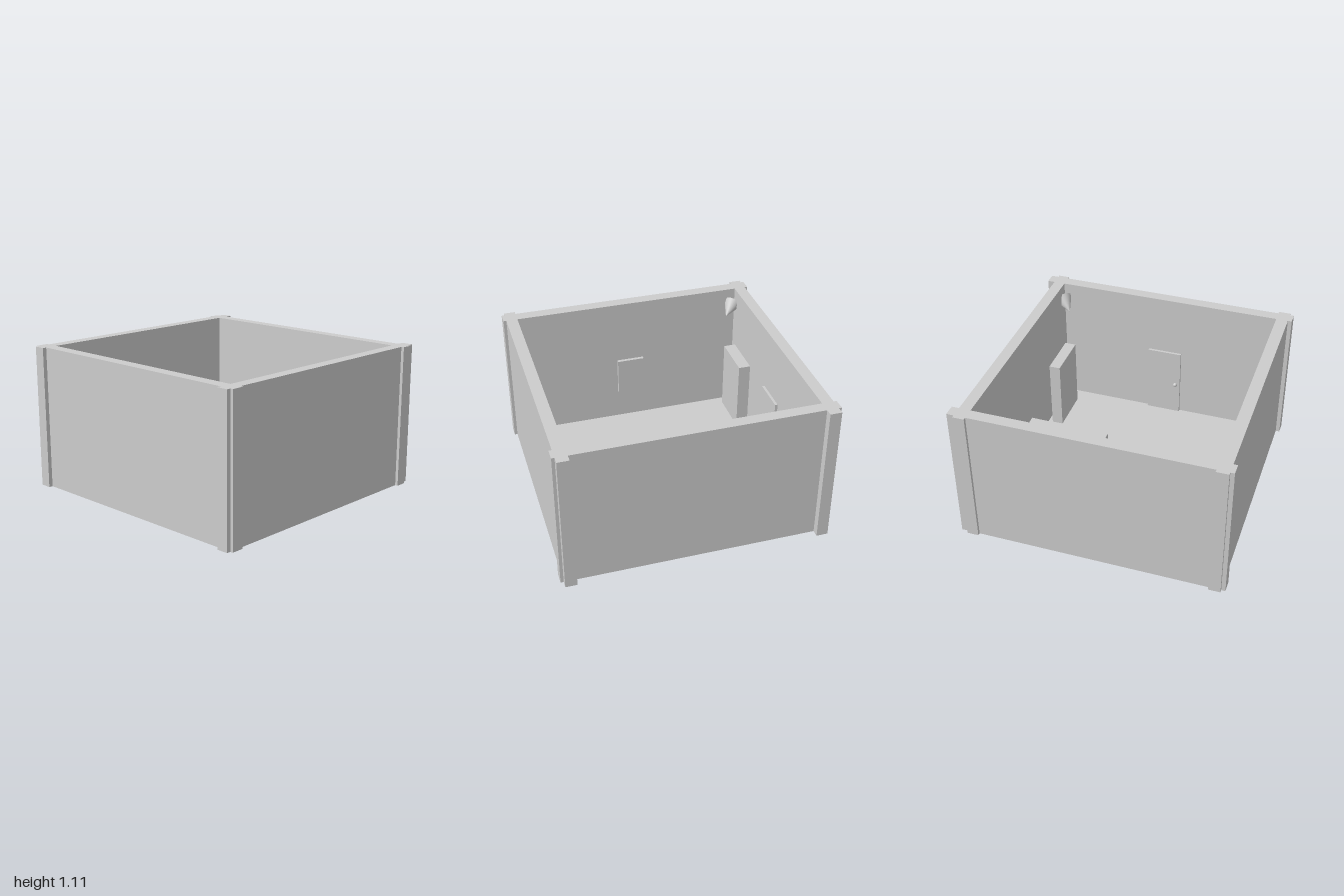
import * as THREE from 'three';

export function createModel() {
  const model = new THREE.Group();
  const grey = new THREE.MeshStandardMaterial({ color: 0xcccccc });
  grey.name = 'light grey';

  const add = (name, geometry) => {
    const mesh = new THREE.Mesh(geometry, grey);
    mesh.name = name;
    model.add(mesh);
    return mesh;
  };

  // Box given by its limits on each axis
  const box = (name, x0, x1, y0, y1, z0, z1) => {
    const mesh = add(name, new THREE.BoxGeometry(x1 - x0, y1 - y0, z1 - z0));
    mesh.position.set((x0 + x1) / 2, (y0 + y1) / 2, (z0 + z1) / 2);
    return mesh;
  };

  const floorTop = 0.06;
  box('floor', -0.907, 0.907, 0, floorTop, -0.907, 0.907);

  // Four walls whose ends cross and stick out at the corners
  const xl = -0.97, xli = -0.88, xri = 0.86, xr = 0.946, zo = 0.978, zi = 0.892;
  const corner = [
    [xl, -1], [xli, -1], [xli, -zo], [xri, -zo], [xri, -1], [xr, -1],
    [xr, -zo], [1, -zo], [1, -zi], [xr, -zi],
  ];
  const lower = [
    [xr, zi], [1, zi], [1, zo], [xr, zo], [xr, 1], [xri, 1], [xri, zo],
    [xli, zo], [xli, 1], [xl, 1], [xl, zo], [-1, zo], [-1, zi], [xl, zi],
    [xl, -zi], [-1, -zi], [-1, -zo], [xl, -zo],
  ];
  const toPoints = (list) => list.map(([x, y]) => new THREE.Vector2(x, y));
  const plan = new THREE.Shape(toPoints([...corner, ...lower]));
  plan.holes.push(new THREE.Path(toPoints([[xli, -zi], [xli, zi], [xri, zi], [xri, -zi]])));
  const walls = add('walls', new THREE.ExtrudeGeometry(plan, { depth: 1.075, bevelEnabled: false }));
  walls.rotation.x = Math.PI / 2;
  walls.position.y = 1.11;

  // Doors with round knobs, on the back and front walls
  for (const s of [1, -1]) {
    const side = s > 0 ? 'back' : 'front';
    const door = box(side + 'Door', -0.137, 0.137, floorTop, 0.63, -zi, -0.872);
    door.position.z *= s;
    const knob = add(side + 'DoorKnob', new THREE.SphereGeometry(0.017, 16, 12));
    knob.position.set(0.1 * s, 0.33, -0.867 * s);
  }

  // Tall cabinets
  box('backCabinet', -0.815, -0.455, floorTop, 0.62, -zi, -0.798);
  box('sideCabinet', 0.738, 0.825, floorTop, 0.62, 0.41, 0.77);

  // Wall panels
  box('sideWallPanel', xli, -0.853, 0.3, 0.6, -0.11, 0.107);
  box('backWallPanel', 0.355, 0.715, 0.3, 0.56, -zi, -0.857);

  // Low furniture along the wall
  box('longCounter', 0.22, xri, floorTop, 0.33, -0.092, 0.085);
  box('smallCounter', 0.68, xri, floorTop, 0.33, -0.572, -0.345);

  // Cones in opposite corners, pointing down into the room
  const addCone = (name, base, tip) => {
    const axis = tip.clone().sub(base);
    const cone = add(name, new THREE.ConeGeometry(0.07, axis.length(), 24));
    cone.position.copy(base).add(tip).multiplyScalar(0.5);
    cone.quaternion.setFromUnitVectors(new THREE.Vector3(0, 1, 0), axis.normalize());
  };
  addCone('backCornerCone', new THREE.Vector3(-0.875, 0.985, -0.875), new THREE.Vector3(-0.785, 0.92, -0.79));
  addCone('frontCornerCone', new THREE.Vector3(0.865, 0.985, 0.87), new THREE.Vector3(0.78, 0.92, 0.785));

  return model;
}
